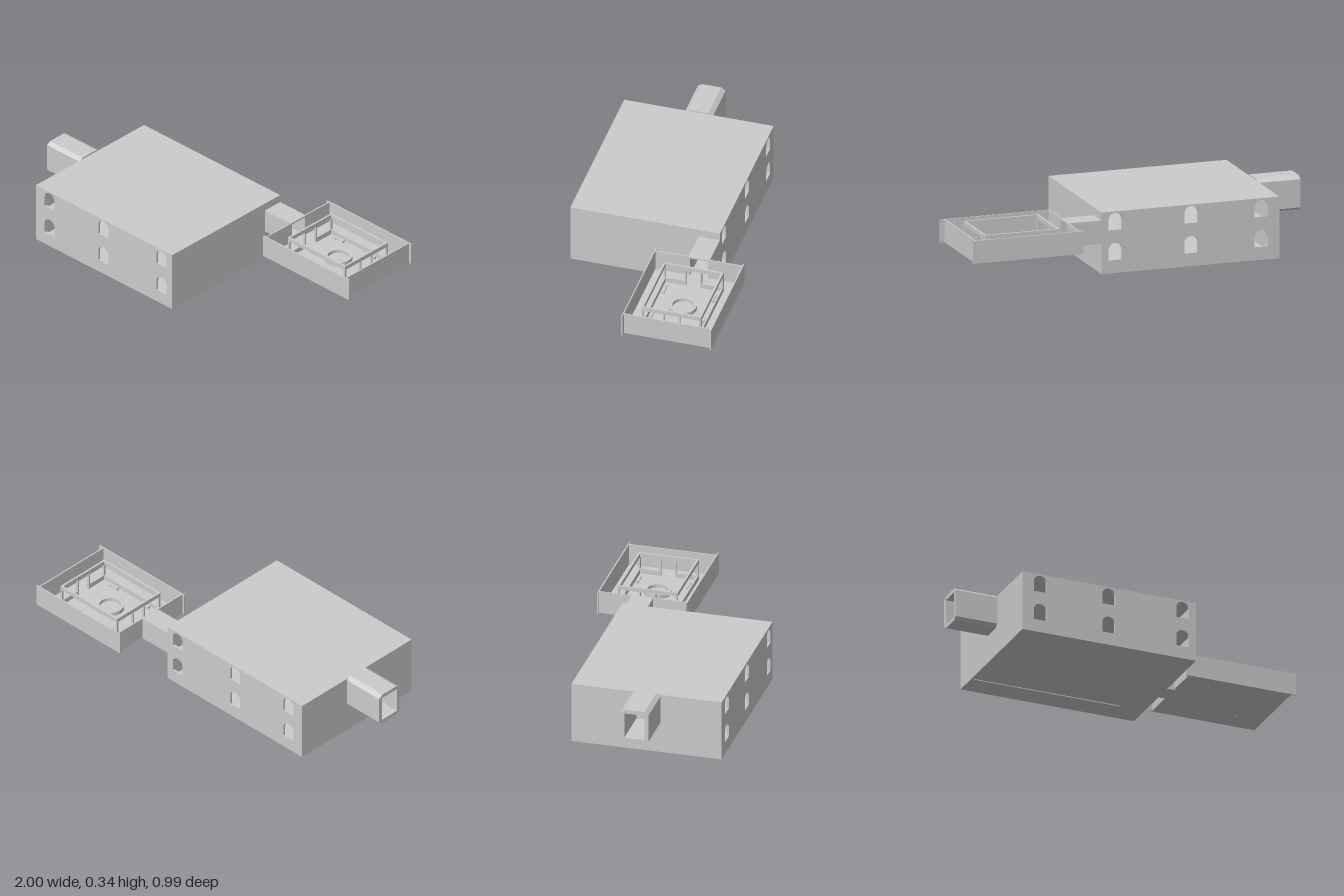
import * as THREE from 'three';

const material = new THREE.MeshStandardMaterial({ color: 0xcccccc, flatShading: true, side: THREE.DoubleSide });

function add(parent, name, geometry) {
  const mesh = new THREE.Mesh(geometry, material);
  mesh.name = name;
  parent.add(mesh);
  return mesh;
}

// Box given by its limits on each axis
function box(parent, name, x0, x1, y0, y1, z0, z1) {
  const mesh = add(parent, name, new THREE.BoxGeometry(x1 - x0, y1 - y0, z1 - z0));
  mesh.position.set((x0 + x1) / 2, (y0 + y1) / 2, (z0 + z1) / 2);
  return mesh;
}

function polygon(points, Type = THREE.Shape) {
  return new Type(points.map(([x, y]) => new THREE.Vector2(x, y)));
}

const rect = (a0, a1, b0, b1) => [[a0, b0], [a1, b0], [a1, b1], [a0, b1]];

// Extrudes a (z, y) outline along x
function extrudeX(parent, name, shape, x0, x1) {
  const geometry = new THREE.ExtrudeGeometry(shape, { depth: x1 - x0, bevelEnabled: false, curveSegments: 8 });
  geometry.rotateY(-Math.PI / 2).scale(1, 1, 1);
  geometry.translate(x1, 0, 0);
  return add(parent, name, geometry);
}

// Round-headed window opening
function archHole(x, y) {
  const r = 0.036, spring = y + 0.055;
  const path = new THREE.Path();
  path.moveTo(x - r, y);
  path.lineTo(x + r, y);
  path.lineTo(x + r, spring);
  path.absarc(x, spring, r, 0, Math.PI, false);
  path.closePath();
  return path;
}

function buildHall() {
  const hall = new THREE.Group();
  hall.name = 'hall';
  const [x0, x1, y0, y1, z0, z1] = [-0.765, 0.215, 0.005, 0.335, -0.315, 0.494];
  const t = 0.012;

  // Front and back walls with two rows of windows
  const wall = polygon(rect(x0, x1, y0, y1));
  for (const y of [0.075, 0.236]) {
    for (const x of [-0.665, -0.278, 0.14]) wall.holes.push(archHole(x, y));
  }
  const wallGeometry = new THREE.ExtrudeGeometry(wall, { depth: t, bevelEnabled: false, curveSegments: 10 });
  add(hall, 'frontWall', wallGeometry).position.z = z1 - t;
  add(hall, 'backWall', wallGeometry).position.z = z0;

  // Side walls, floors and roof
  const [zi0, zi1] = [z0 + t, z1 - t];
  box(hall, 'sideWall', x0, x0 + t, y0, y1, zi0, zi1);
  box(hall, 'sideWall', x1 - t, x1, y0, y1, zi0, zi1);
  box(hall, 'groundFloor', x0 + t, x1 - t, y0, y0 + 0.008, zi0, zi1);
  box(hall, 'upperFloor', x0 + t, x1 - t, 0.165, 0.173, zi0, zi1);
  box(hall, 'roof', x0 + t, x1 - t, y1 - 0.006, y1, zi0, zi1);
  box(hall, 'underRidge', x0 + 0.02, 0.07, 0, y0, -0.18, -0.168);
  return hall;
}

function buildCorridors() {
  const corridors = new THREE.Group();
  corridors.name = 'corridors';

  // Entrance passage with chamfered edges, open at its outer end
  const entrance = polygon([
    [0.04, 0.16], [0.143, 0.16], [0.165, 0.176], [0.165, 0.327],
    [0.143, 0.343], [0.04, 0.343], [0.015, 0.327], [0.015, 0.176],
  ]);
  entrance.holes.push(polygon(rect(0.035, 0.145, 0.182, 0.322), THREE.Path));
  extrudeX(corridors, 'entrancePassage', entrance, -1, -0.765);

  // Square passage to the courtyard
  const link = polygon(rect(-0.315, -0.2, 0.167, 0.293));
  link.holes.push(polygon(rect(-0.307, -0.208, 0.175, 0.285), THREE.Path));
  extrudeX(corridors, 'courtyardPassage', link, 0.215, 0.402);
  return corridors;
}

function buildCourtyard() {
  const court = new THREE.Group();
  court.name = 'courtyard';
  const [x0, x1, y0, y1, z0, z1] = [0.395, 0.975, 0.172, 0.294, -0.493, -0.018];
  const t = 0.007;

  // Floor and outer walls; front and back walls run past the corners
  box(court, 'courtFloor', x0, x1, y0, y0 + 0.006, z0, z1);
  box(court, 'courtBackWall', 0.382, 0.99, y0, y1, z0 - t / 2, z0 + t / 2);
  box(court, 'courtFrontWall', 0.382, 1, y0, y1, z1 - t / 2, z1 + t / 2);
  box(court, 'courtOuterWall', x1 - t, x1, y0, y1, z0, z1);
  const doorWall = polygon([
    [z0, y0], [-0.307, y0], [-0.307, 0.285], [-0.208, 0.285],
    [-0.208, y0], [z1, y0], [z1, y1], [z0, y1],
  ]);
  extrudeX(court, 'courtDoorWall', doorWall, x0, x0 + t);

  // Inner arcade: top beams, corner posts and a low parapet with gaps
  const [a0, a1, b0, b1] = [0.484, 0.895, -0.416, -0.092];
  const w = 0.011, floor = y0 + 0.006;
  for (const z of [b0, b1 - w]) {
    box(court, 'arcadeBeam', a0, a1, 0.274, 0.296, z, z + w);
    box(court, 'parapet', a0, a1, floor, 0.205, z, z + w);
    for (const x of [a0, a1 - w]) box(court, 'arcadePost', x, x + w, floor, 0.274, z, z + w);
  }
  for (const x of [a0, a1 - w]) {
    box(court, 'arcadeBeam', x, x + w, 0.274, 0.296, b0 + w, b1 - w);
    box(court, 'parapet', x, x + w, floor, 0.205, b0 + w, -0.3);
    box(court, 'parapet', x, x + w, floor, 0.205, -0.21, b1 - w);
    for (const z of [-0.3, -0.217]) box(court, 'gatePost', x - 0.003, x + w, floor, 0.274, z, z + 0.007);
  }

  // Four benches
  for (const x of [0.571, 0.797]) {
    for (const z of [-0.388, -0.12]) {
      box(court, 'benchSeat', x - 0.032, x + 0.032, 0.188, 0.193, z - 0.008, z + 0.008);
      for (const s of [-1, 1]) {
        const leg = x + s * 0.025;
        box(court, 'benchLeg', leg - 0.004, leg + 0.004, y0 - 0.001, 0.188, z - 0.007, z + 0.007);
      }
    }
  }

  // Round basin
  const profile = [[0.055, floor], [0.073, floor], [0.073, 0.2], [0.055, 0.2], [0.055, floor + 0.004], [0, floor + 0.004]];
  const basin = add(court, 'basin', new THREE.LatheGeometry(profile.map(([r, y]) => new THREE.Vector2(r, y)), 32));
  basin.position.set(0.69, 0, -0.256);
  return court;
}

export function createModel() {
  const model = new THREE.Group();
  model.name = 'buildingComplex';
  model.add(buildHall(), buildCorridors(), buildCourtyard());
  // The x-extruded outlines use z as their first coordinate
  return model;
}
